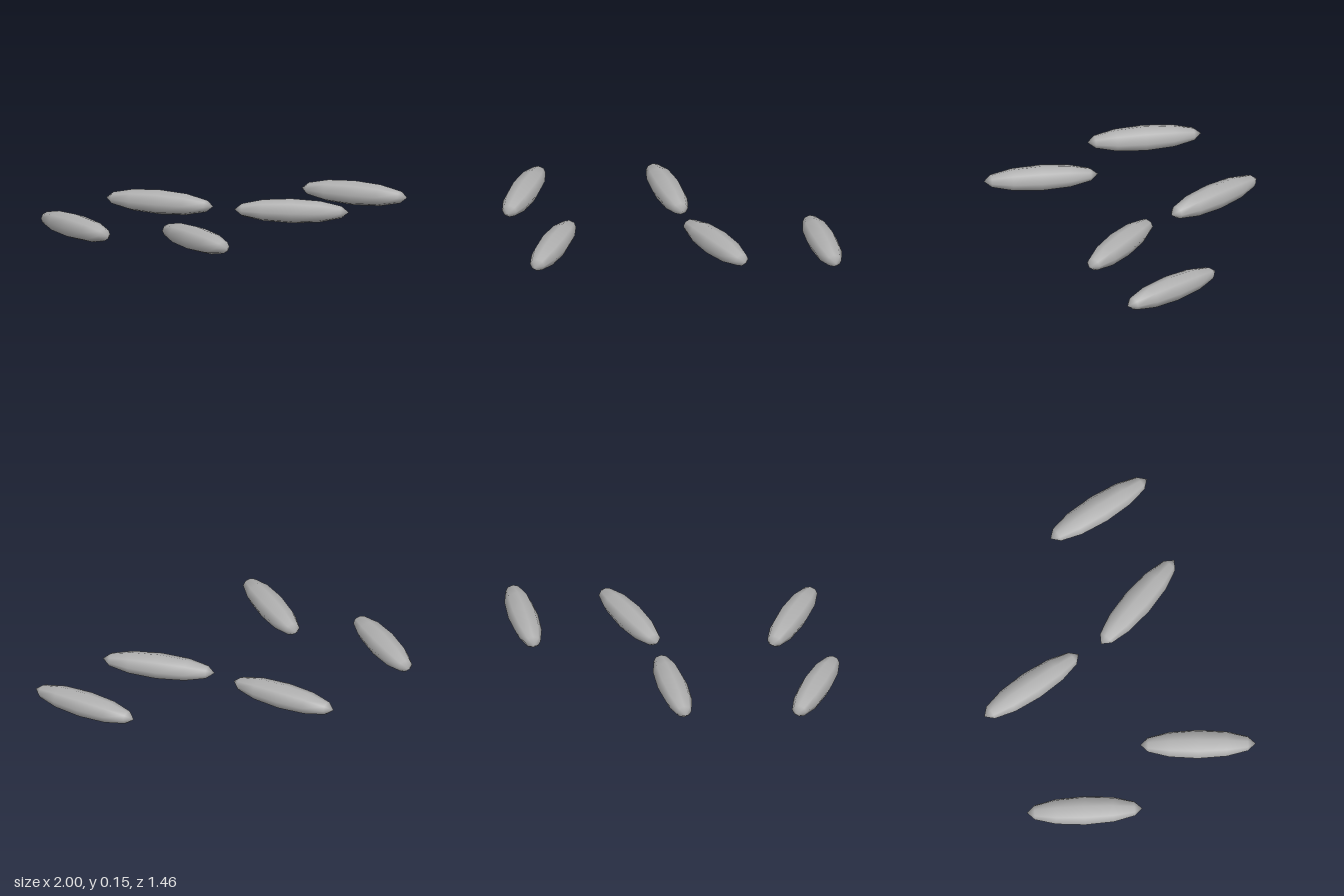
import * as THREE from 'three';

export function createModel() {
  const model = new THREE.Group();
  model.name = 'grains';

  const grey = new THREE.MeshStandardMaterial({ color: 0xb0b0b0 });
  grey.name = 'grey';

  // One long grain: a coarse smooth ellipsoid with its poles along z
  const grainShape = new THREE.SphereGeometry(1, 8, 6);
  grainShape.rotateX(Math.PI / 2);
  grainShape.scale(0.091, 0.075, 0.345);

  // Scattered grains: x, z, turn about y
  const placements = [
    [-0.858, -0.395, -0.337],
    [-0.003, -0.395, 0.235],
    [-0.717, 0.39, -0.366],
    [0.255, 0.39, 0.505],
    [0.89, 0.393, 0.203],
  ];
  placements.forEach(([x, z, turn], i) => {
    const grain = new THREE.Mesh(grainShape, grey);
    grain.name = `grain${i + 1}`;
    grain.position.set(x, 0.08, z);
    grain.rotation.y = turn;
    model.add(grain);
  });

  return model;
}
